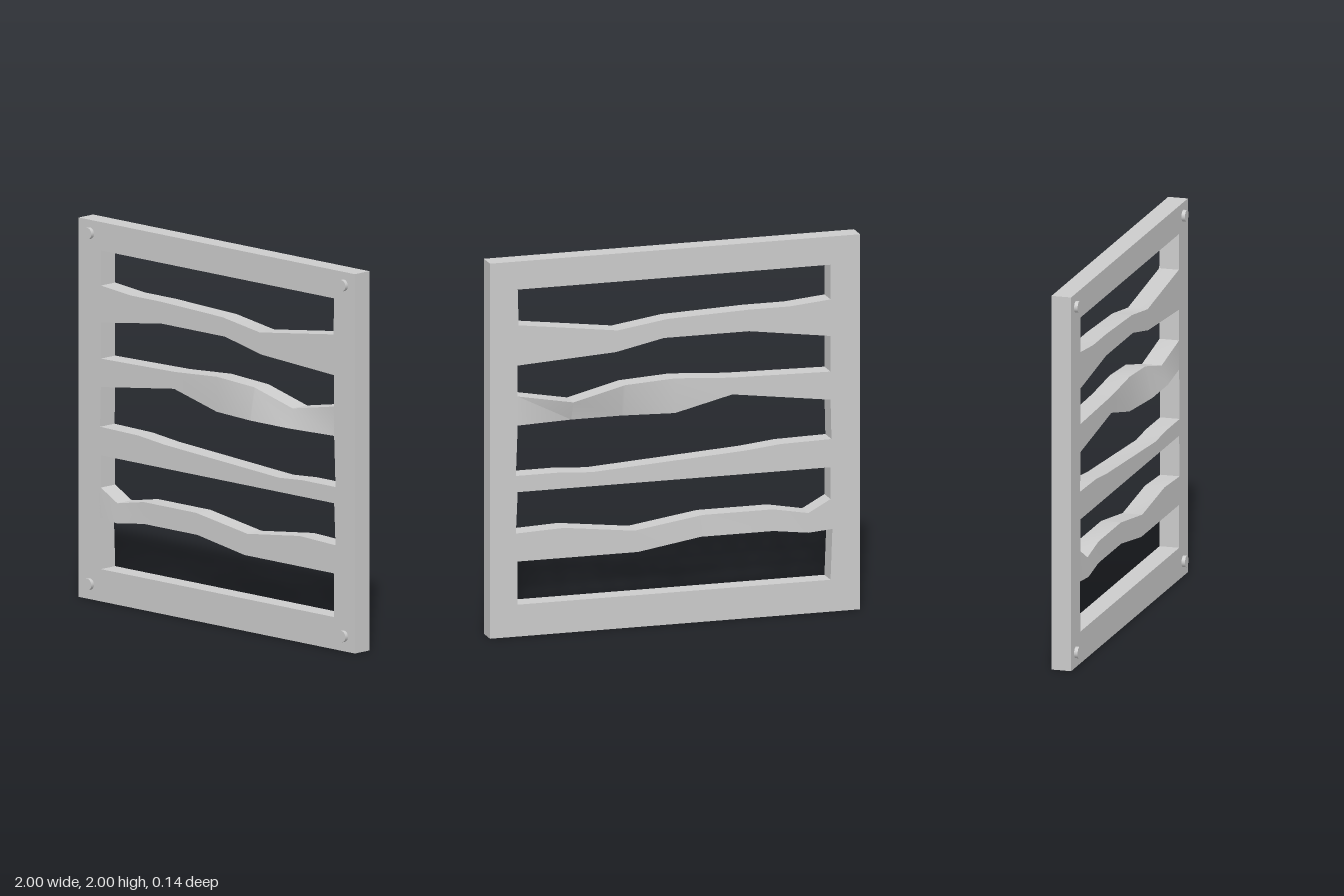
import * as THREE from 'three';
import { toCreasedNormals } from 'three/addons/utils/BufferGeometryUtils.js';

const BACK = -0.069, FRONT = 0.037;
const material = new THREE.MeshStandardMaterial({ color: 0xcccccc });

// Each slat: top edge [x, y], bottom edge [x, y, frontShift, backShift]
const SLATS = [
  {
    top: [[-0.84, 1.665], [-0.62, 1.645], [-0.4, 1.645], [0.04, 1.63], [0.31, 1.59], [0.85, 1.66]],
    bottom: [[-0.84, 1.47], [-0.4, 1.53], [0.06, 1.53], [0.32, 1.475], [0.85, 1.445]],
  },
  {
    top: [[-0.84, 1.28], [-0.3, 1.29], [0, 1.31], [0.27, 1.295], [0.55, 1.225], [0.85, 1.28]],
    bottom: [[-0.84, 1.13], [-0.31, 1.2], [0, 1.125], [0.28, 1.125, 0.034, 0.034],
      [0.55, 1.125, 0.034, 0.034], [0.85, 1.125]],
  },
  {
    top: [[-0.84, 0.92], [-0.57, 0.915], [-0.38, 0.895], [0.45, 0.845], [0.62, 0.857], [0.86, 0.857]],
    bottom: [[-0.84, 0.77], [0.85, 0.77]],
  },
  {
    top: [[-0.84, 0.6], [-0.72, 0.535], [-0.53, 0.57], [-0.15, 0.57], [0.22, 0.515], [0.6, 0.56], [0.86, 0.55]],
    bottom: [[-0.85, 0.44], [-0.72, 0.43, 0.005, 0], [-0.53, 0.455, 0, -0.003],
      [-0.14, 0.455, 0, -0.003], [0.2, 0.4], [0.85, 0.4]],
  },
];

// Value of column k on a polyline at x, clamped at its ends
function sample(line, x, k) {
  if (x <= line[0][0]) return line[0][k] ?? 0;
  for (let i = 1; i < line.length; i++) {
    const a = line[i - 1], b = line[i];
    if (x <= b[0]) return THREE.MathUtils.lerp(a[k] ?? 0, b[k] ?? 0, (x - a[0]) / (b[0] - a[0]));
  }
  return line[line.length - 1][k] ?? 0;
}

// Four-cornered cross-sections joined along x
function slatGeometry({ top, bottom }) {
  const xs = [...new Set([-0.86, ...[...top, ...bottom].map((p) => p[0]), 0.87])].sort((a, b) => a - b);
  const positions = [], index = [];
  xs.forEach((x, i) => {
    const yt = sample(top, x, 1), yb = sample(bottom, x, 1);
    positions.push(
      x, yt, FRONT,
      x, yb, FRONT + sample(bottom, x, 2),
      x, yb, BACK + sample(bottom, x, 3),
      x, yt, BACK,
    );
    if (i === 0) return;
    for (let j = 0; j < 4; j++) {
      const a = (i - 1) * 4 + j, b = (i - 1) * 4 + (j + 1) % 4;
      index.push(a, b, b + 4, a, b + 4, a + 4);
    }
  });
  const geometry = new THREE.BufferGeometry();
  geometry.setAttribute('position', new THREE.Float32BufferAttribute(positions, 3));
  geometry.setIndex(index);
  return toCreasedNormals(geometry, Math.PI / 9);
}

export function createModel() {
  const group = new THREE.Group();
  const add = (name, geometry) => {
    const mesh = new THREE.Mesh(geometry, material);
    mesh.name = name;
    group.add(mesh);
    return mesh;
  };
  const points = (list) => list.map(([x, y]) => new THREE.Vector2(x, y));

  // Square frame with one opening whose side walls are slightly uneven
  const outline = new THREE.Shape(points([[-1, 0], [1, 0], [1, 2], [-1, 2]]));
  outline.holes.push(new THREE.Path(points([
    [-0.84, 0.17], [-0.85, 0.44], [-0.84, 0.6], [-0.84, 0.77], [-0.845, 0.92], [-0.84, 1.13], [-0.84, 1.85],
    [0.85, 1.85], [0.845, 1.66], [0.85, 1.445], [0.85, 1.125], [0.86, 0.857], [0.85, 0.77],
    [0.86, 0.55], [0.85, 0.4], [0.85, 0.17],
  ])));
  const frame = add('frame', new THREE.ExtrudeGeometry(outline, { depth: FRONT - BACK, bevelEnabled: false }));
  frame.position.z = BACK;

  // Wavy cross slats, the second one twisted forward at its lower edge
  SLATS.forEach((slat, i) => add(`slat${i + 1}`, slatGeometry(slat)));

  // Round studs on the front corners
  const stud = new THREE.CylinderGeometry(0.03, 0.03, 0.03, 24).rotateX(Math.PI / 2);
  for (const x of [-0.92, 0.92]) {
    for (const y of [0.08, 1.93]) add('cornerStud', stud).position.set(x, y, 0.041);
  }
  return group;
}
